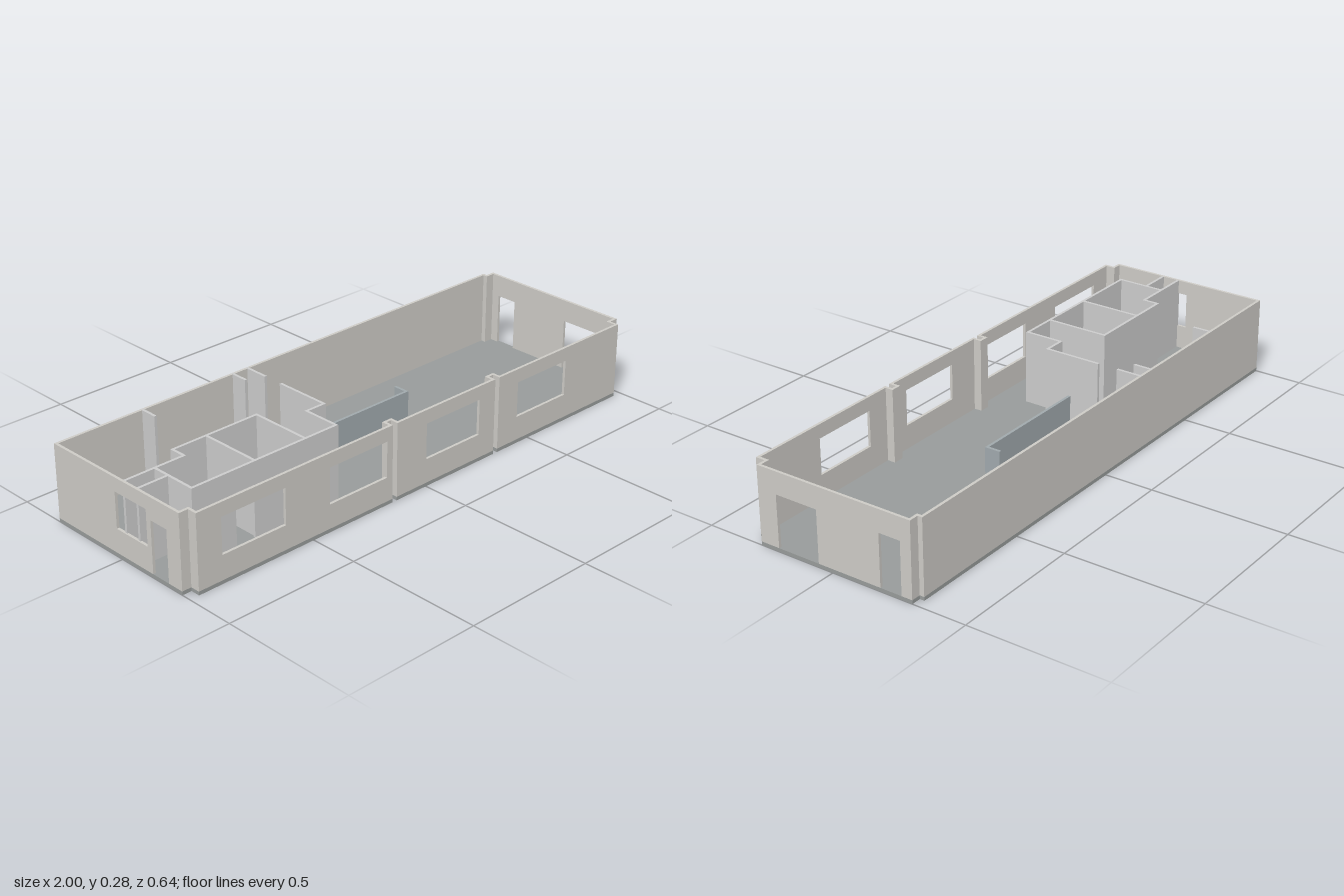
import * as THREE from 'three';

const FLOOR = 0.013, TOP = 0.28, T = 0.01;
const mat = (color) => new THREE.MeshStandardMaterial({ color, flatShading: true });
const outerMat = mat(0xcccac5), innerMat = mat(0xcccccc), floorMat = mat(0x979b9a), counterMat = mat(0xa0a8ac);

function box(group, x0, x1, y0, y1, z0, z1, material) {
  const mesh = new THREE.Mesh(new THREE.BoxGeometry(x1 - x0, y1 - y0, z1 - z0), material);
  mesh.position.set((x0 + x1) / 2, (y0 + y1) / 2, (z0 + z1) / 2);
  mesh.name = group.name + 'Panel';
  group.add(mesh);
}

// Axis-aligned wall along a centreline; openings are [from, to, bottom, top] along its run
function wall(name, [ax, az], [bx, bz], material, openings = [], height = TOP) {
  const group = new THREE.Group();
  group.name = name;
  const alongX = Math.abs(bx - ax) > Math.abs(bz - az);
  const start = (alongX ? Math.min(ax, bx) : Math.min(az, bz)) - T / 2;
  const end = (alongX ? Math.max(ax, bx) : Math.max(az, bz)) + T / 2;
  const c = alongX ? az : ax;
  const panel = (s, e, y0, y1) => {
    if (e - s < 1e-4 || y1 - y0 < 1e-4) return;
    if (alongX) box(group, s, e, y0, y1, c - T / 2, c + T / 2, material);
    else box(group, c - T / 2, c + T / 2, y0, y1, s, e, material);
  };
  let cursor = start;
  for (const [s, e, y0, y1] of [...openings].sort((p, q) => p[0] - q[0])) {
    panel(cursor, s, FLOOR, height);
    panel(s, e, FLOOR, y0);
    panel(s, e, y1, height);
    cursor = e;
  }
  panel(cursor, end, FLOOR, height);
  return group;
}

// Move every corner of an axis-aligned outline inwards by d
function inset(points, d) {
  const n = points.length;
  const normal = (p, q) => [-Math.sign(q[1] - p[1]), Math.sign(q[0] - p[0])];
  return points.map((p, i) => {
    const a = normal(points[(i + n - 1) % n], p), b = normal(p, points[(i + 1) % n]);
    return [p[0] + d * (a[0] + b[0]), p[1] + d * (a[1] + b[1])];
  });
}

export function createModel() {
  const model = new THREE.Group();
  model.name = 'openRoofBuilding';

  // Building outline as [x, z], with notched corners and two slots in the front
  const slot = (x) => [[x + 0.01, 0.322], [x + 0.01, 0.293], [x - 0.01, 0.293], [x - 0.01, 0.322]];
  const outline = [
    [-1, -0.322], [0.965, -0.322], [0.965, -0.305], [1, -0.305], [1, 0.287], [0.965, 0.287], [0.965, 0.322],
    ...slot(0.335), ...slot(-0.145),
    [-0.965, 0.322], [-0.965, 0.287], [-1, 0.287],
  ];

  // Floor slab
  const slab = new THREE.ExtrudeGeometry(
    new THREE.Shape(outline.map(([x, z]) => new THREE.Vector2(x, z))), { depth: FLOOR, bevelEnabled: false });
  slab.rotateX(Math.PI / 2).translate(0, FLOOR, 0);
  const floor = new THREE.Mesh(slab, floorMat);
  floor.name = 'floor';
  model.add(floor);

  // Outer walls, openings keyed by outline edge
  const win = (s, e) => [s, e, 0.1, 0.23];
  const door = (s, e) => [s, e, FLOOR, 0.2];
  const openings = {
    3: [door(0.055, 0.215), door(-0.265, -0.185)],
    6: [win(0.44, 0.685)],
    10: [win(0, 0.25)],
    14: [win(-0.87, -0.615), win(-0.43, -0.18)],
    17: [win(-0.02, 0.13), door(0.15, 0.225)],
  };
  const names = { 0: 'backWall', 3: 'leftEndWall', 6: 'frontWallLeft', 10: 'frontWallMiddle', 14: 'frontWallRight', 17: 'rightEndWall' };
  const centre = inset(outline, T / 2);
  centre.forEach((p, i) => model.add(
    wall(names[i] || 'notchWall', p, centre[(i + 1) % centre.length], outerMat, openings[i])));

  // Interior partitions: [x0, z0, x1, z1, openings]
  const partitions = [
    [-0.99, 0.02, -0.76, 0.02],
    [-0.76, 0.02, -0.76, -0.035],
    [-0.76, -0.035, -0.415, -0.035],
    [-0.415, -0.035, -0.415, 0.195],
    [-0.625, -0.035, -0.625, 0.195],
    [-0.875, 0.02, -0.875, 0.195],
    [-0.99, 0.085, -0.875, 0.085],
    [-0.875, 0.195, -0.283, 0.195, [door(-0.71, -0.635), door(-0.405, -0.335)]],
    [-0.283, 0.195, -0.283, 0.058],
    [-0.283, 0.058, -0.207, 0.058],
    [-0.207, 0.058, -0.207, -0.145],
    [-0.655, -0.315, -0.655, -0.255],
    [-0.272, -0.315, -0.272, -0.255],
    [-0.207, -0.315, -0.207, -0.23],
  ];
  for (const [x0, z0, x1, z1, holes] of partitions)
    model.add(wall('partition', [x0, z0], [x1, z1], innerMat, holes));

  // Low counter wall with a short return
  model.add(wall('counterWall', [-0.197, -0.035], [0.268, -0.035], counterMat, [], 0.13));
  model.add(wall('counterReturn', [0.268, -0.035], [0.268, -0.083], counterMat, [], 0.13));
  return model;
}
